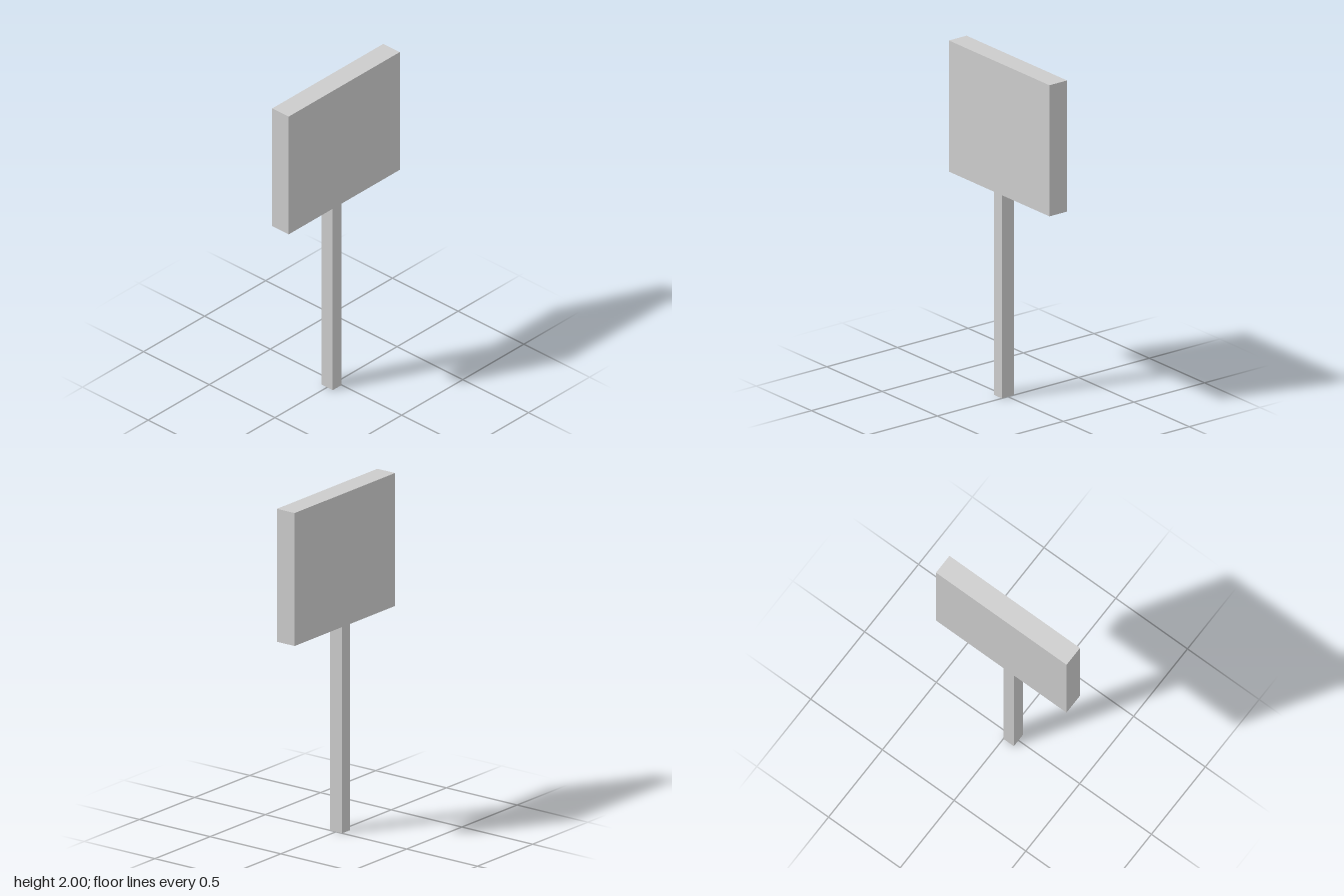
import * as THREE from 'three';

export function createModel() {
  const group = new THREE.Group();
  const material = new THREE.MeshStandardMaterial({ color: 0xcccccc, flatShading: true });

  const addBox = (name, [w, h, d], [x, bottom, z]) => {
    const mesh = new THREE.Mesh(new THREE.BoxGeometry(w, h, d), material);
    mesh.name = name;
    mesh.position.set(x, bottom + h / 2, z);
    group.add(mesh);
  };

  // Thick rectangular panel on top
  addBox('signBoard', [0.91, 0.78, 0.125], [0, 1.22, 0]);
  // Square post, set slightly to the model's right of centre
  addBox('post', [0.072, 1.22, 0.086], [-0.037, 0, 0]);

  return group;
}
